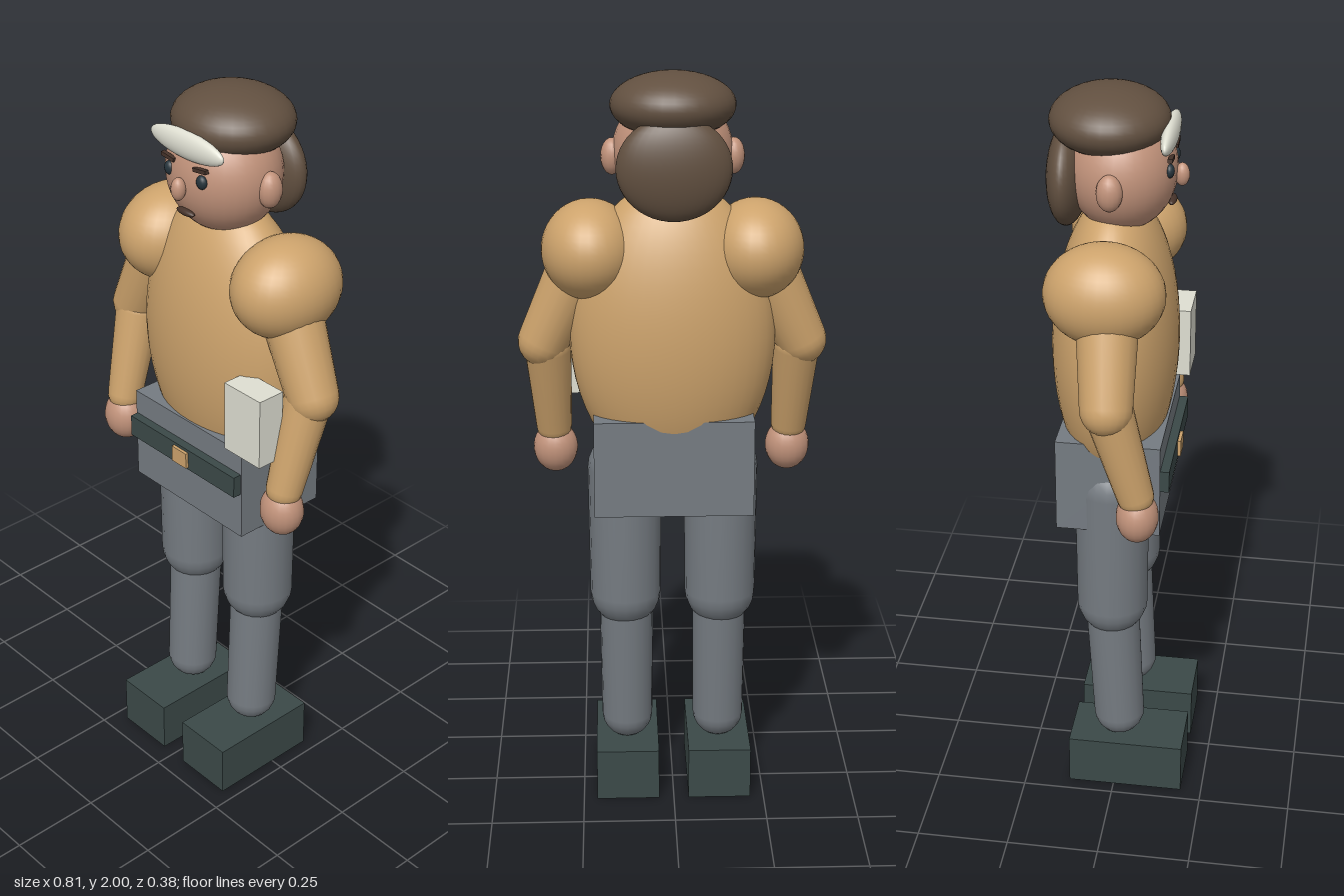
import * as THREE from 'three';

const mat = (name, color) => {
  const m = new THREE.MeshStandardMaterial({ color });
  m.name = name;
  return m;
};

export function createModel() {
  const model = new THREE.Group();
  model.name = 'standingMan';
  const shirt = mat('tanShirt', 0xcda36c);
  const skin = mat('skin', 0xc2937b);
  const hair = mat('brownHair', 0x625040);
  const trousers = mat('greyTrousers', 0x757b81);
  const leather = mat('darkLeather', 0x3b4948);
  const paper = mat('offWhite', 0xdfdfd2);
  const eyeDark = mat('eyeDark', 0x26343c);
  const faceLine = mat('darkBrown', 0x46332a);

  const add = (name, geo, material, pos) => {
    const mesh = new THREE.Mesh(geo, material);
    mesh.name = name;
    mesh.position.set(...pos);
    model.add(mesh);
    return mesh;
  };
  const ball = (name, material, pos, radii, seg = 32) =>
    add(name, new THREE.SphereGeometry(1, seg, seg * 0.75).scale(...radii), material, pos);
  const box = (name, material, pos, size) =>
    add(name, new THREE.BoxGeometry(...size), material, pos);

  // Tapered limb with round ends, running from point a down to point b
  const limb = (name, material, a, b, ra, rb) => {
    const from = new THREE.Vector3(...a), to = new THREE.Vector3(...b);
    const len = from.distanceTo(to);
    const profile = [];
    for (let i = 0; i <= 6; i++) {
      const t = (i / 6) * Math.PI / 2;
      profile.push(new THREE.Vector2(rb * Math.sin(t), -rb * Math.cos(t)));
    }
    for (let i = 0; i <= 6; i++) {
      const t = (i / 6) * Math.PI / 2;
      profile.push(new THREE.Vector2(ra * Math.cos(t), len + ra * Math.sin(t)));
    }
    const mesh = add(name, new THREE.LatheGeometry(profile, 20), material, b);
    mesh.quaternion.setFromUnitVectors(new THREE.Vector3(0, 1, 0), from.sub(to).normalize());
  };

  // Torso and hips
  ball('torso', shirt, [0, 1.32, -0.02], [0.27, 0.4, 0.163], 40);
  box('hips', trousers, [0, 0.98, -0.013], [0.42, 0.26, 0.274]);
  box('belt', leather, [0, 1.012, 0.125], [0.412, 0.06, 0.045]);
  box('buckle', shirt, [0, 1.011, 0.147], [0.056, 0.045, 0.018]);
  box('sidePouch', paper, [0.242, 1.22, 0.115], [0.13, 0.193, 0.078]);

  // Head and hair
  ball('head', skin, [0, 1.79, -0.005], [0.155, 0.157, 0.14]);
  ball('hairTop', hair, [0, 1.915, -0.035], [0.16, 0.083, 0.151]);
  ball('hairBack', hair, [0, 1.77, -0.139], [0.146, 0.133, 0.053]);
  ball('headBand', paper, [0, 1.886, 0.116], [0.132, 0.036, 0.021]);

  // Face
  ball('nose', skin, [0, 1.779, 0.145], [0.019, 0.03, 0.019], 16);
  ball('mouth', faceLine, [0, 1.711, 0.122], [0.032, 0.009, 0.011], 16);

  for (const s of [1, -1]) {
    const side = s > 0 ? 'left' : 'right';
    ball(side + 'Ear', skin, [s * 0.155, 1.781, -0.014], [0.029, 0.047, 0.033], 16);
    ball(side + 'Eye', eyeDark, [s * 0.059, 1.809, 0.121], [0.016, 0.018, 0.012], 16);
    const brow = box(side + 'Brow', faceLine, [s * 0.058, 1.84, 0.124], [0.046, 0.01, 0.012]);
    brow.rotation.z = s * 0.12;

    // Arms
    ball(side + 'Shoulder', shirt, [s * 0.214, 1.541, -0.018], [0.126, 0.13, 0.153]);
    limb(side + 'UpperArm', shirt, [s * 0.25, 1.48, -0.005], [s * 0.34, 1.29, 0.005], 0.079, 0.067);
    limb(side + 'Forearm', shirt, [s * 0.328, 1.27, 0.012], [s * 0.318, 1.035, 0.075], 0.062, 0.048);
    ball(side + 'Hand', skin, [s * 0.315, 0.972, 0.08], [0.06, 0.07, 0.055], 20);

    // Legs
    limb(side + 'Thigh', trousers, [s * 0.129, 0.945, -0.013], [s * 0.129, 0.585, -0.013], 0.099, 0.096);
    limb(side + 'Shin', trousers, [s * 0.127, 0.56, -0.013], [s * 0.127, 0.205, 0.005], 0.073, 0.07);
    box(side + 'Shoe', leather, [s * 0.127, 0.0725, 0.033], [0.172, 0.145, 0.318]);
  }
  return model;
}
